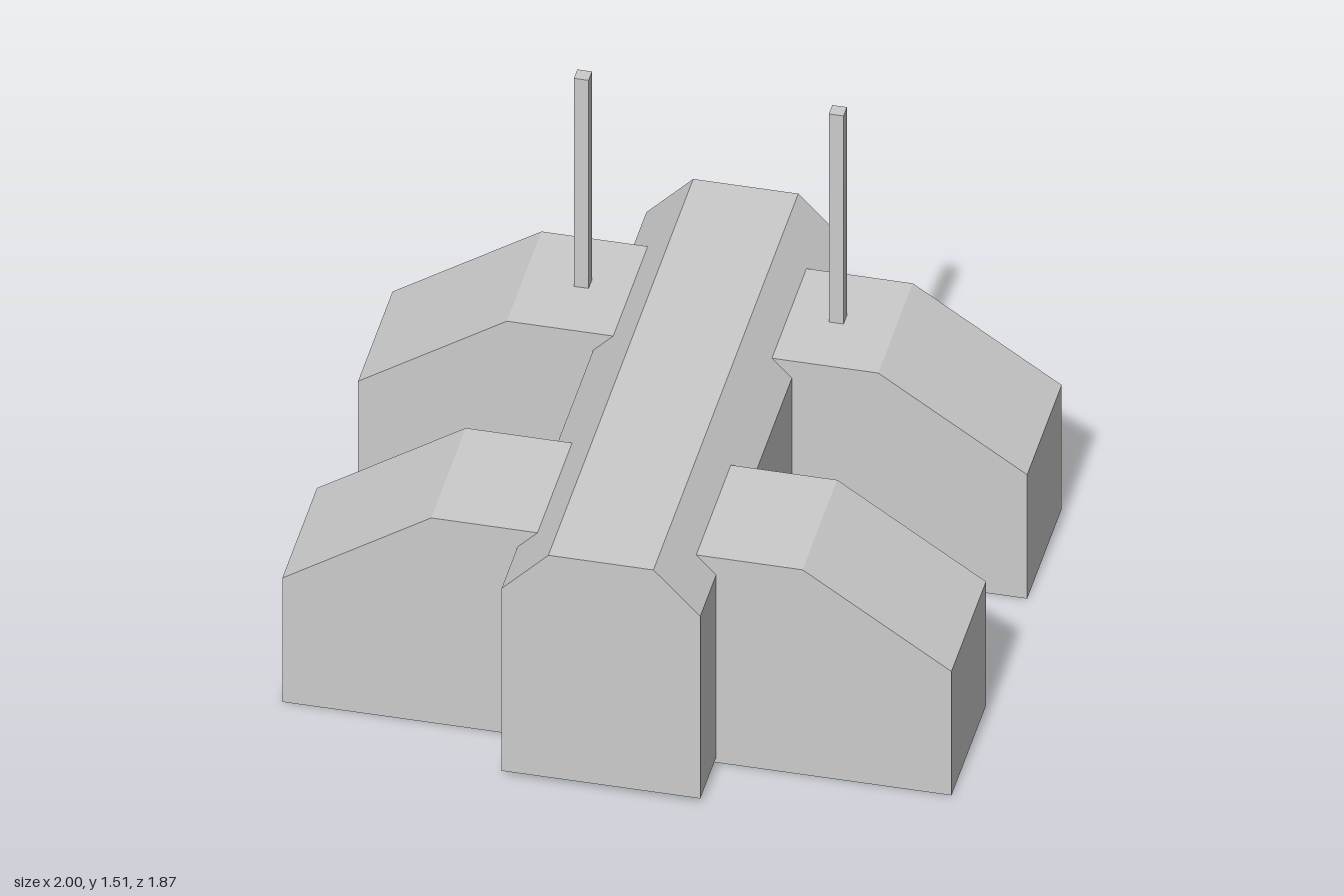
import * as THREE from 'three';

const material = new THREE.MeshStandardMaterial({ color: 0xcccccc, flatShading: true, side: THREE.DoubleSide });

// Hollow prism along z, open underneath. The convex profile runs
// counter-clockwise from its lower right corner to its lower left one.
function openPrism(profile, z0, z1) {
  const v = [];
  const add = (...corners) => corners.forEach(([p, z]) => v.push(p[0], p[1], z));
  for (let i = 0; i < profile.length - 1; i++) {
    const a = profile[i], b = profile[i + 1];
    add([a, z0], [b, z0], [b, z1], [a, z0], [b, z1], [a, z1]);
  }
  for (let i = 1; i < profile.length - 1; i++) {
    const [a, b, c] = [profile[0], profile[i], profile[i + 1]];
    add([a, z1], [b, z1], [c, z1], [a, z0], [c, z0], [b, z0]);
  }
  const geometry = new THREE.BufferGeometry();
  geometry.setAttribute('position', new THREE.Float32BufferAttribute(v, 3));
  geometry.computeVertexNormals();
  return geometry;
}

function addPart(group, name, geometry) {
  const mesh = new THREE.Mesh(geometry, material);
  mesh.name = name;
  group.add(mesh);
  return mesh;
}

export function createModel() {
  const group = new THREE.Group();
  group.name = 'building';

  // Long central hall with chamfered roof edges
  const hall = [[0.297, 0.02], [0.297, 0.685], [0.157, 0.83], [-0.157, 0.83], [-0.297, 0.685], [-0.297, 0.02]];
  addPart(group, 'centralHall', openPrism(hall, -0.935, 0.932));

  // Four side wings with sloping roofs, reaching into the hall
  const leftWing = [[1, 0], [1, 0.452], [0.555, 0.747], [0.15, 0.747], [0.15, 0]];
  const rightWing = leftWing.map(([x, y]) => [-x, y]).reverse();
  for (const [side, profile, s] of [['left', leftWing, 1], ['right', rightWing, -1]]) {
    addPart(group, side + 'FrontWing', openPrism(profile, 0.28, 0.726));
    addPart(group, side + 'BackWing', openPrism(profile, -0.695, -0.25));

    // Square mast on the back wing
    const mast = addPart(group, side + 'Mast', new THREE.BoxGeometry(0.044, 0.76, 0.044));
    mast.position.set(s * 0.381, 1.126, -0.48);
  }
  return group;
}
